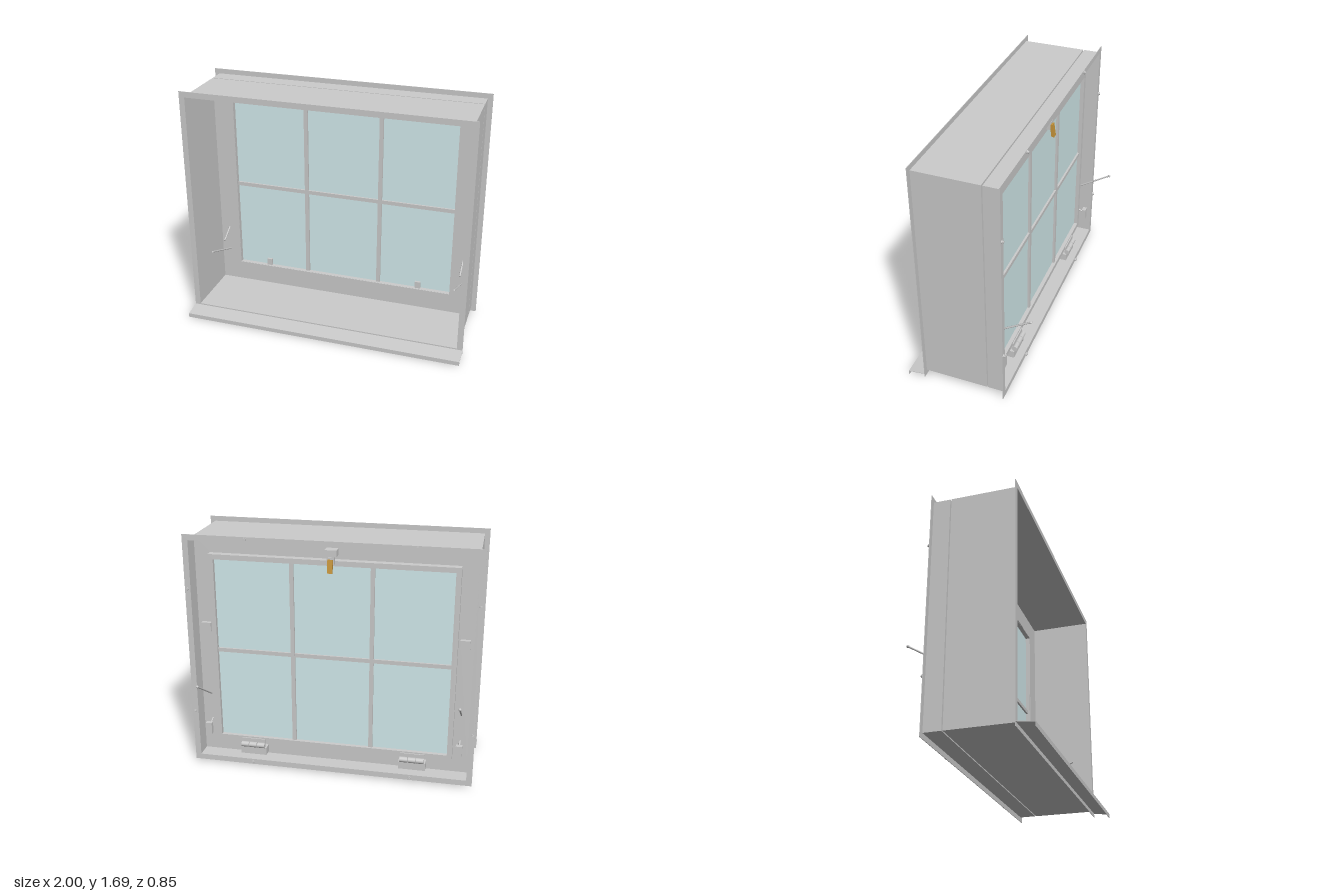
import * as THREE from 'three';

const grey = new THREE.MeshStandardMaterial({ color: 0xcccccc });
const glassMat = new THREE.MeshStandardMaterial({ color: 0xd4ecee });
const brass = new THREE.MeshStandardMaterial({ color: 0xc8963c });

export function createModel() {
  const model = new THREE.Group();

  function add(name, geometry, material = grey, parent = model) {
    const mesh = new THREE.Mesh(geometry, material);
    mesh.name = name;
    parent.add(mesh);
    return mesh;
  }

  // Box given by its extents
  function box(name, x0, x1, y0, y1, z0, z1, material) {
    const mesh = add(name, new THREE.BoxGeometry(x1 - x0, y1 - y0, z1 - z0), material);
    mesh.position.set((x0 + x1) / 2, (y0 + y1) / 2, (z0 + z1) / 2);
    return mesh;
  }

  // Rectangular ring; outer and inner are [half width, bottom, top]
  function ring(name, outer, inner, z0, z1) {
    const corners = ([w, b, t]) => [[-w, b], [w, b], [w, t], [-w, t]].map(p => new THREE.Vector2(...p));
    const shape = new THREE.Shape(corners(outer));
    shape.holes.push(new THREE.Path(corners(inner)));
    const geo = new THREE.ExtrudeGeometry(shape, { depth: z1 - z0, bevelEnabled: false });
    geo.translate(0, 0, z0);
    return add(name, geo);
  }

  // Round bar between two points
  function rod(name, a, b, radius) {
    const dir = b.clone().sub(a);
    const mesh = add(name, new THREE.CylinderGeometry(radius, radius, dir.length(), 10));
    mesh.position.copy(a).add(b).multiplyScalar(0.5);
    mesh.quaternion.setFromUnitVectors(new THREE.Vector3(0, 1, 0), dir.normalize());
    return mesh;
  }

  // Sheet metal sleeve in two halves with a narrow gap between them
  const flange = [1, 0.015, 1.69];
  const sleeve = [0.965, 0.05, 1.655];
  const sleeveIn = [0.96, 0.055, 1.65];
  const opening = [0.815, 0.2, 1.51];
  ring('frontSleeve', sleeve, sleeveIn, -0.137, 0.31);
  ring('frontFlange', flange, sleeveIn, 0.306, 0.31);
  ring('frontInnerPlate', sleeveIn, opening, -0.137, -0.133);
  ring('backSleeve', sleeve, sleeveIn, -0.265, -0.145);
  ring('backFlange', flange, sleeveIn, -0.265, -0.261);
  ring('backInnerPlate', sleeveIn, opening, -0.149, -0.145);

  // Sloping drip sill with a turned-down edge
  const sill = new THREE.Shape([
    [0.31, 0.046], [0.427, 0.03], [0.427, 0], [0.423, 0], [0.423, 0.026], [0.31, 0.042],
  ].map(([z, y]) => new THREE.Vector2(-z, y)));
  const sillGeo = new THREE.ExtrudeGeometry(sill, { depth: 2, bevelEnabled: false });
  sillGeo.rotateY(Math.PI / 2).translate(-1, 0, 0);
  add('dripSill', sillGeo);

  // Sash, glass and glazing bars
  ring('sash', [0.85, 0.165, 1.545], opening, -0.2, -0.138);
  box('glass', -0.815, 0.815, 0.2, 1.51, -0.172, -0.168, glassMat);
  for (const x of [-0.275, 0.275]) box('verticalBar', x - 0.014, x + 0.014, 0.2, 1.51, -0.187, -0.153);
  box('horizontalBar', -0.815, 0.815, 0.84, 0.868, -0.186, -0.154);

  // Top latch with brass handle
  box('latchKeeper', -0.04, 0.04, 1.575, 1.62, -0.22, -0.149);
  box('latchBody', -0.025, 0.025, 1.525, 1.575, -0.225, -0.19);
  const handle = box('latchHandle', -0.017, 0.017, 1.47, 1.56, -0.245, -0.225, brass);
  handle.rotation.x = 0.15;

  for (const s of [-1, 1]) {
    // Bottom hinge: leaf, knuckles and glass clip
    const hx = s * 0.575;
    box('hingeLeaf', hx - 0.095, hx + 0.095, 0.07, 0.125, -0.215, -0.149);
    box('hingeSashLeaf', hx - 0.085, hx + 0.085, 0.13, 0.19, -0.208, -0.2);
    for (const k of [-1, 0, 1]) {
      const kx = hx + k * 0.058;
      rod('hingeKnuckle', new THREE.Vector3(kx - 0.027, 0.145, -0.215), new THREE.Vector3(kx + 0.027, 0.145, -0.215), 0.02);
    }
    const cx = s * 0.58 - 0.005;
    box('glassClip', cx - 0.02, cx + 0.02, 0.2, 0.25, -0.168, -0.15);

    // Side stop block
    const ax = s * 0.897;
    box('stopBlock', ax - 0.033, ax + 0.033, 0.98, 1.045, -0.178, -0.149);

    // Two stay rods passing through the plates, with end knob and pivot block
    const upperEnd = new THREE.Vector3(ax, 0.66, -0.417);
    rod('upperStay', new THREE.Vector3(ax, 0.423, -0.03), upperEnd, 0.006);
    add('stayKnob', new THREE.SphereGeometry(0.01, 12, 8)).position.copy(upperEnd);
    rod('lowerStay', new THREE.Vector3(ax, 0.265, -0.23), new THREE.Vector3(ax, 0.432, 0.18), 0.006);
    box('stayPivot', ax - 0.022, ax + 0.022, 0.215, 0.3, -0.245, -0.215);

    // Flange screws
    const spots = [[s * 0.985, 0.4], [s * 0.985, 1.31], [s * 0.567, 0.03], [s * 0.567, 1.675]];
    for (const [x, y] of spots) {
      rod('screwHead', new THREE.Vector3(x, y, -0.263), new THREE.Vector3(x, y, -0.272), 0.013);
      rod('screwTip', new THREE.Vector3(x, y, -0.27), new THREE.Vector3(x, y, -0.279), 0.007);
    }
  }
  return model;
}
